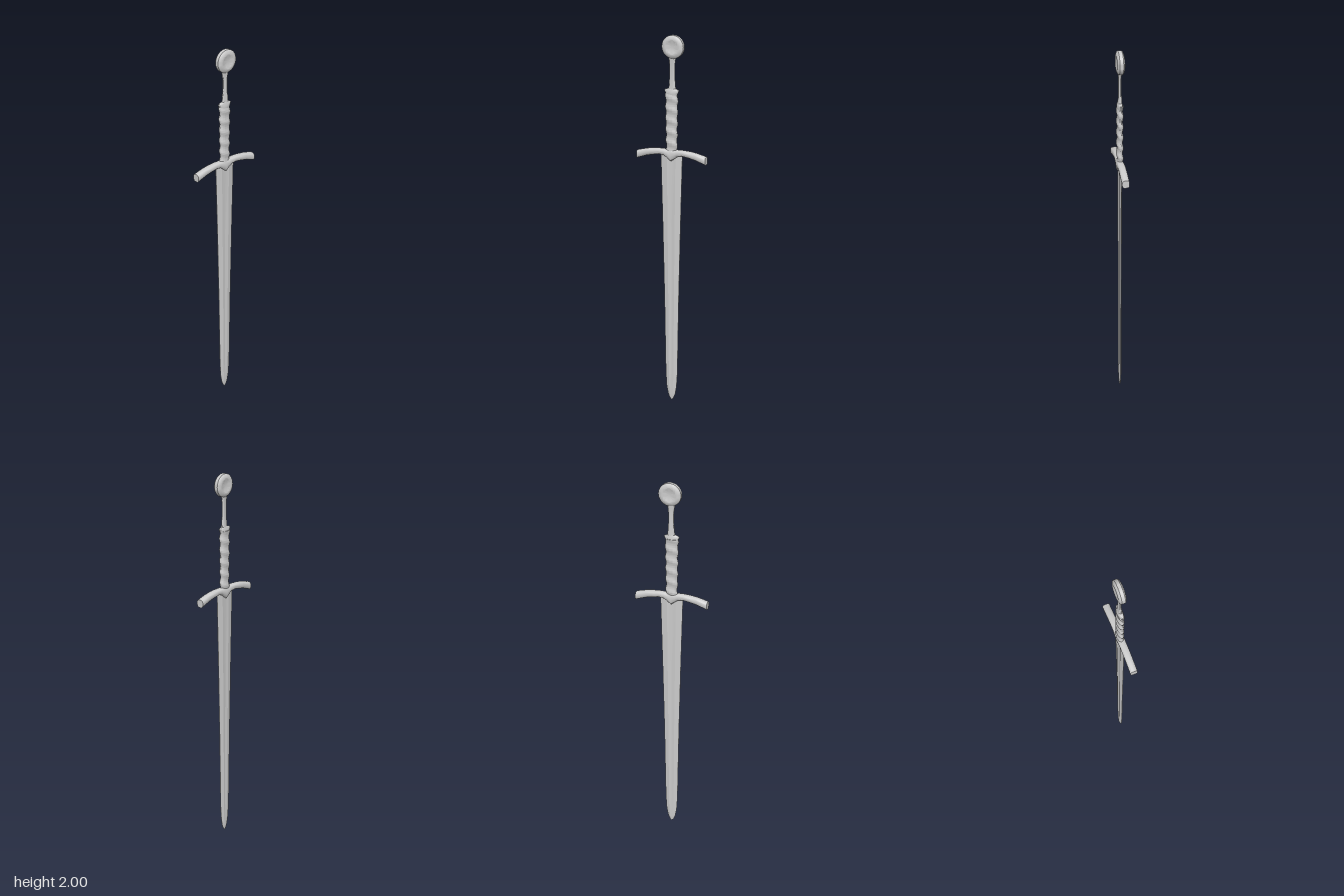
import * as THREE from 'three';
import { toCreasedNormals } from 'three/addons/utils/BufferGeometryUtils.js';

const material = new THREE.MeshStandardMaterial({ color: 0xcccccc });

// Skins a list of equal-length rings of [x, y, z] points and closes both ends.
function loft(rings, crease = 0.6) {
  const n = rings[0].length;
  const pos = rings.flat(2);
  const index = [];
  for (let i = 0; i < rings.length - 1; i++) {
    for (let j = 0; j < n; j++) {
      const k = (j + 1) % n;
      const a = i * n + j, b = i * n + k, c = a + n, d = b + n;
      index.push(a, c, b, b, c, d);
    }
  }
  const addCap = (start, flip) => {
    const ring = rings[start];
    const mid = [0, 1, 2].map(q => ring.reduce((s, p) => s + p[q], 0) / n);
    const m = pos.length / 3;
    pos.push(...mid);
    for (let j = 0; j < n; j++) {
      const a = start * n + j, b = start * n + (j + 1) % n;
      index.push(m, flip ? b : a, flip ? a : b);
    }
  };
  addCap(0, false);
  addCap(rings.length - 1, true);
  const geo = new THREE.BufferGeometry();
  geo.setAttribute('position', new THREE.Float32BufferAttribute(pos, 3));
  geo.setIndex(index);
  return toCreasedNormals(geo, crease);
}

// Horizontal elliptical ring
function ellipse(y, rx, rz, z = 0, n = 20) {
  return Array.from({ length: n }, (_, j) => {
    const a = (j / n) * Math.PI * 2;
    return [rx * Math.cos(a), y, z + rz * Math.sin(a)];
  });
}

export function createModel() {
  const sword = new THREE.Group();
  sword.name = 'sword';
  const add = (name, geo) => {
    const mesh = new THREE.Mesh(geo, material);
    mesh.name = name;
    sword.add(mesh);
    return mesh;
  };

  // Blade: two edges, a shallow fuller on each face, rounded tip [y, half width, half thickness]
  const bladeStations = [
    [0, 0.003, 0.003], [0.012, 0.012, 0.005], [0.035, 0.021, 0.006], [0.08, 0.029, 0.007],
    [0.16, 0.034, 0.0075], [0.6, 0.041, 0.0075], [1.0, 0.05, 0.0075], [1.385, 0.06, 0.0075],
  ];
  const blade = bladeStations.map(([y, w, t]) => {
    const f = y > 0.1 ? 0.65 * t : t;
    return [
      [f, y, 0], [t, y, 0.4 * w], [0.001, y, w], [-0.001, y, w], [-t, y, 0.4 * w],
      [-f, y, 0], [-t, y, -0.4 * w], [-0.001, y, -w], [0.001, y, -w], [t, y, -0.4 * w],
    ];
  });
  add('blade', loft(blade, 0.25));

  // Crossguard: drooping arms and a point over the blade [z, bottom, top]
  const arm = [
    [0, 1.352, 1.414], [0.02, 1.368, 1.414], [0.038, 1.381, 1.414], [0.065, 1.385, 1.414],
    [0.1, 1.379, 1.412], [0.135, 1.371, 1.407], [0.165, 1.361, 1.4], [0.191, 1.352, 1.393],
  ];
  const guardStations = [...arm.slice(1).reverse().map(([z, b, t]) => [-z, b, t]), ...arm];
  const guard = guardStations.map(([z, b, t]) =>
    Array.from({ length: 16 }, (_, j) => {
      const a = (j / 16) * Math.PI * 2;
      const round = v => Math.sign(v) * Math.pow(Math.abs(v), 0.65);
      return [0.019 * round(Math.cos(a)), (b + t) / 2 - ((t - b) / 2) * round(Math.sin(a)), z];
    }));
  add('crossguard', loft(guard));

  // Lower grip with a spiral wrap raised from the surface
  const pitch = 0.058, rows = 84, sides = 32;
  const grip = Array.from({ length: rows + 1 }, (_, i) => {
    const y = 1.405 + (0.305 * i) / rows;
    const w = 0.028 + (0.004 * i) / rows;
    return Array.from({ length: sides }, (_, j) => {
      const a = (j / sides) * Math.PI * 2;
      const phase = (y / pitch - a / (Math.PI * 2)) * Math.PI * 2;
      const ridge = 0.0045 * Math.pow(0.5 + 0.5 * Math.cos(phase), 1.5);
      return [(0.014 + ridge) * Math.cos(a), y, (w + ridge) * Math.sin(a)];
    });
  });
  add('wrappedGrip', loft(grip, 0.9));

  // Flared collar on top of the wrap
  add('gripCollar', loft([
    ellipse(1.695, 0.014, 0.031), ellipse(1.708, 0.016, 0.034), ellipse(1.72, 0.013, 0.041),
    ellipse(1.726, 0.012, 0.036), ellipse(1.732, 0.01, 0.018),
  ]));

  // Slim upper grip, widening under the pommel
  add('upperGrip', loft([
    [1.71, 0.012, 0.023], [1.745, 0.01, 0.018], [1.79, 0.008, 0.015], [1.85, 0.008, 0.015],
    [1.875, 0.009, 0.018], [1.892, 0.011, 0.022], [1.91, 0.011, 0.022],
  ].map(([y, rx, rz]) => ellipse(y, rx, rz, -0.003)), 0.9));

  // Disc pommel with bevelled rim and dished faces [radius, offset]
  const face = [[0, 0.014], [0.02, 0.0145], [0.031, 0.018], [0.036, 0.0195], [0.041, 0.019], [0.054, 0.0145], [0.0585, 0.009]];
  const profile = [...face.map(([r, h]) => [r, -h]), ...face.slice().reverse()]
    .map(([r, h]) => new THREE.Vector2(r, h));
  const pommelGeo = new THREE.LatheGeometry(profile, 40);
  pommelGeo.rotateZ(Math.PI / 2);
  add('pommel', toCreasedNormals(pommelGeo, 0.6)).position.set(0, 1.9415, -0.008);

  return sword;
}
